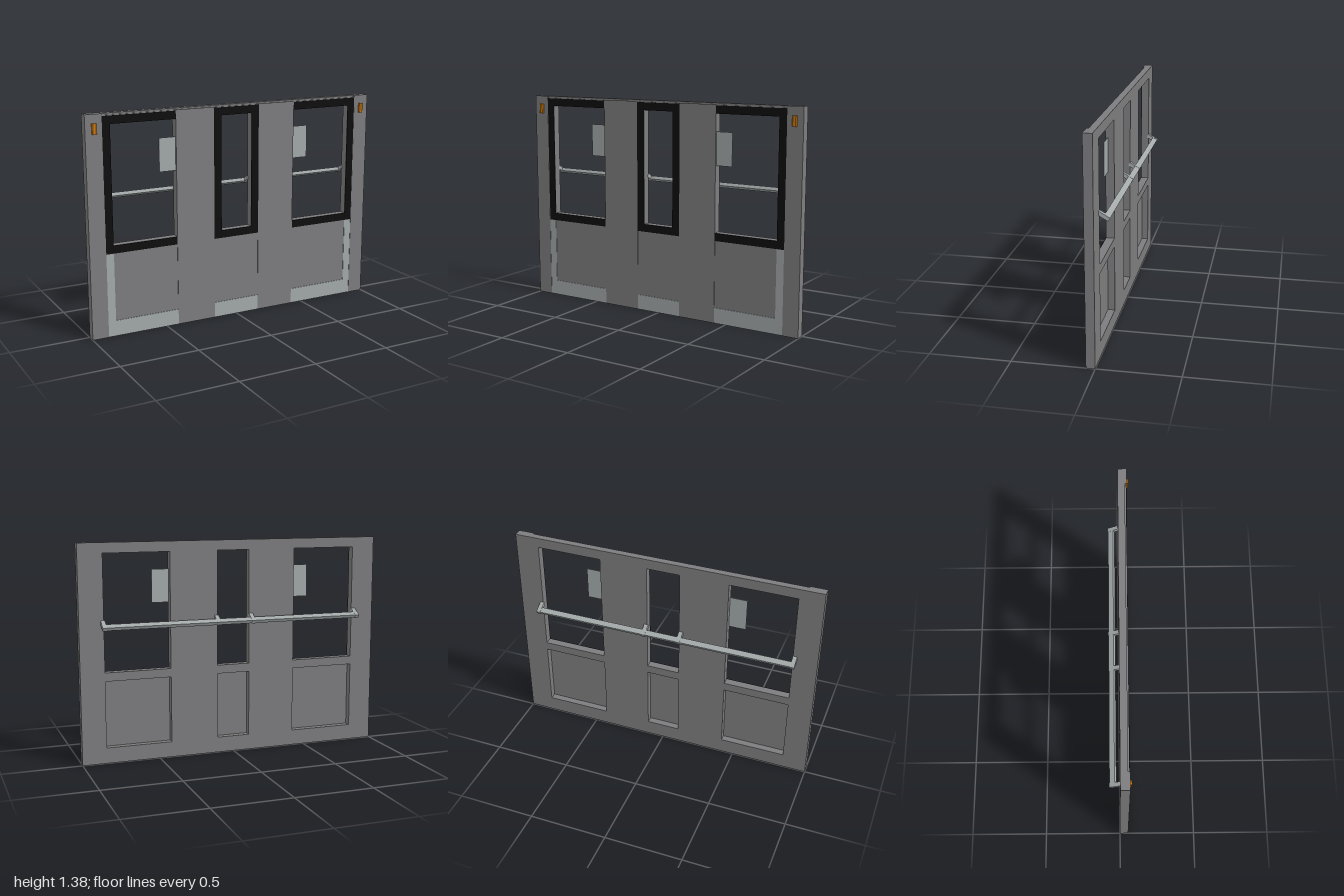
import * as THREE from 'three';

export function createModel() {
  const model = new THREE.Group();
  model.name = 'wallPanel';
  const mat = (name, color) => {
    const m = new THREE.MeshStandardMaterial({ color });
    m.name = name;
    return m;
  };
  const grey = mat('wallGrey', 0x7d7d7f);
  const light = mat('lightGrey', 0xa3a9a9);
  const black = mat('frameBlack', 0x0e0e0e);
  const orange = mat('lampOrange', 0xd07a10);

  const add = (name, geometry, material) => {
    const m = new THREE.Mesh(geometry, material);
    m.name = name;
    model.add(m);
    return m;
  };
  // Box given by its limits on each axis
  const box = (name, material, x0, x1, y0, y1, z0, z1) =>
    add(name, new THREE.BoxGeometry(x1 - x0, y1 - y0, z1 - z0), material)
      .position.set((x0 + x1) / 2, (y0 + y1) / 2, (z0 + z1) / 2);
  const rect = (T, x0, x1, y0, y1) =>
    new T([[x0, y0], [x1, y0], [x1, y1], [x0, y1]].map(p => new THREE.Vector2(...p)));

  // Wall in two layers: windows go through both, recesses only through the back
  const columns = [[-0.845, -0.42], [-0.108, 0.108], [0.42, 0.845]];
  const layer = (name, top, z0, z1, rows) => {
    const shape = rect(THREE.Shape, -1, 1, 0, top);
    for (const [x0, x1] of columns)
      for (const [y0, y1] of rows) shape.holes.push(rect(THREE.Path, x0, x1, y0, y1));
    const g = new THREE.ExtrudeGeometry(shape, { depth: z1 - z0, bevelEnabled: false });
    add(name, g.translate(0, 0, z0), grey);
  };
  const windowRow = [0.58, 1.32];
  layer('wallBack', 1.385, 0, 0.044, [windowRow, [0.1, 0.525]]);
  layer('wallFront', 1.375, 0.044, 0.05, [windowRow]);

  // Thin facings on the front
  const Z0 = 0.05, Z1 = 0.053;
  const facing = (name, material, x0, x1, y0, y1) =>
    box(name, material, x0, x1, y0, y1, Z0, Z1);

  // Middle window frame and sill strip
  facing('middleFrameTop', black, -0.16, 0.16, 1.32, 1.37);
  facing('middleFrameBottom', black, -0.16, 0.16, 0.53, 0.58);
  facing('middleSkirting', light, -0.16, 0.16, 0, 0.1);

  for (const s of [-1, 1]) {
    const side = s > 0 ? 'left' : 'right';
    const mirrored = (name, material, a, b, y0, y1, z0 = Z0, z1 = Z1) =>
      box(side + name, material, Math.min(s * a, s * b), Math.max(s * a, s * b), y0, y1, z0, z1);

    mirrored('MiddleFrameSide', black, 0.108, 0.16, 0.58, 1.32);
    mirrored('InnerPillar', grey, 0.16, 0.42, 0, 1.375);
    mirrored('EndPillar', grey, 0.895, 1, 0, 1.385, 0.044, 0.055);

    // Outer window frame, open towards the inner pillar
    mirrored('FrameTop', black, 0.42, 0.895, 1.32, 1.37);
    mirrored('FrameBottom', black, 0.42, 0.895, 0.53, 0.58);
    mirrored('FrameSide', black, 0.845, 0.895, 0.58, 1.32);

    // Light trim around the lower panel
    mirrored('Skirting', light, 0.42, 0.895, 0, 0.1);
    mirrored('PanelTrim', light, 0.845, 0.895, 0.1, 0.53);

    // Plate in the window beside the inner pillar
    mirrored('WindowPlate', light, 0.42, 0.53, 1.0, 1.21, 0.038, 0.042);

    // Marker lamp with chamfered sides
    const lamp = new THREE.Shape([[-0.015, 0], [0.015, 0], [0.015, -0.006], [0.009, -0.011],
      [-0.009, -0.011], [-0.015, -0.006]].map(p => new THREE.Vector2(...p)));
    const g = new THREE.ExtrudeGeometry(lamp, { depth: 0.064, bevelEnabled: false });
    add(side + 'Lamp', g.rotateX(-Math.PI / 2), orange).position.set(s * 0.945, 1.267, 0.055);
  }

  // Sloping rail and its brackets, behind the wall
  const rail = new THREE.Group();
  rail.name = 'rail';
  rail.position.set(0, 0.894, 0);
  rail.rotation.x = -Math.PI / 6;
  const railPart = (name, x, width, z0, z1, height) => {
    const m = new THREE.Mesh(new THREE.BoxGeometry(width, height, z1 - z0), light);
    m.name = name;
    m.position.set(x, 0, (z0 + z1) / 2);
    rail.add(m);
  };
  railPart('railBar', 0, 1.7, -0.067, -0.031, 0.022);
  for (const x of [-0.858, -0.12, 0.115, 0.852]) railPart('railBracket', x, 0.027, -0.069, 0.008, 0.024);
  model.add(rail);

  return model;
}
